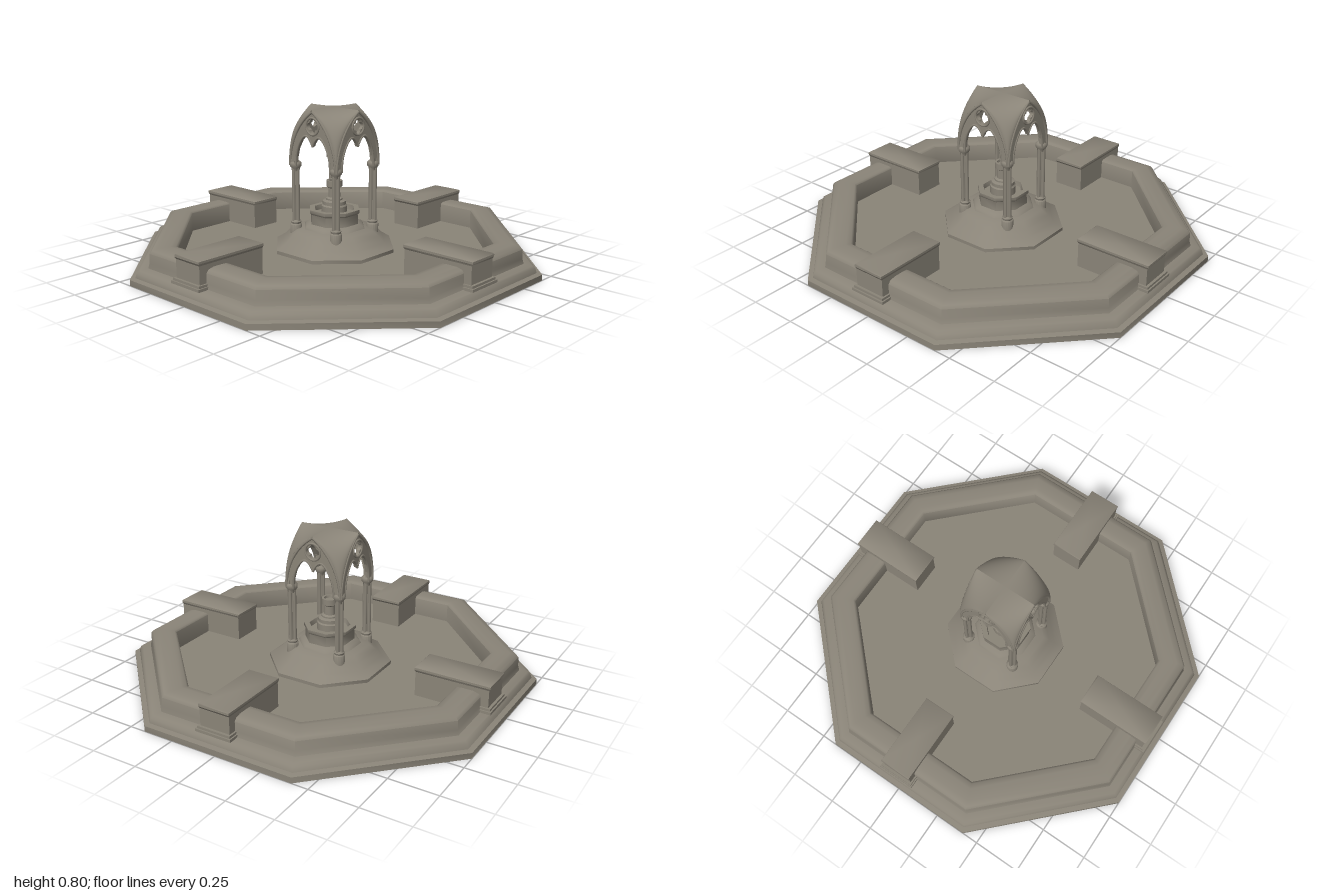
import * as THREE from 'three';
import { toCreasedNormals } from 'three/addons/utils/BufferGeometryUtils.js';

const stone = new THREE.MeshStandardMaterial({ color: 0x8a8478, side: THREE.DoubleSide });
stone.name = 'stone';

const V2 = (p) => new THREE.Vector2(p[0], p[1]);
const V3 = (p) => new THREE.Vector3(p[0], p[1], 0);

function add(parent, name, geometry, x = 0, y = 0, z = 0) {
  const mesh = new THREE.Mesh(geometry, stone);
  mesh.name = name;
  mesh.position.set(x, y, z);
  parent.add(mesh);
  return mesh;
}

// Solid with sides facing the axes and crisp mouldings; profile is [distance to side, height]
function prism(sides, profile) {
  const k = 1 / Math.cos(Math.PI / sides);
  const g = new THREE.LatheGeometry(profile.map(([r, y]) => V2([r * k, y])), sides, Math.PI / sides);
  return toCreasedNormals(g, 0.9);
}

// Pointed arch of the canopy: half width W, springing at SPRING, rise of RISE to the apex
const W = 0.165, R = 0.355, SPRING = 0.5, RISE = 0.3;
const APEX = Math.acos((R - W) / R);
const archPoint = (a, inset = 0) => [(R - inset) * Math.cos(a) - (R - W), SPRING + (R - inset) * Math.sin(a)];

// One quarter of the vault: level ridges, falling smoothly to a corner column
function vaultQuarter() {
  const g = new THREE.PlaneGeometry(1, 1, 14, 14);
  const p = g.attributes.position;
  const top = SPRING + RISE;
  for (let i = 0; i < p.count; i++) {
    const [x, y1] = archPoint((0.5 - p.getX(i)) * APEX);
    const [z, y2] = archPoint((0.5 + p.getY(i)) * APEX);
    p.setXYZ(i, x, top - ((top - y1) * (top - y2)) / RISE, z);
  }
  g.computeVertexNormals();
  return g;
}

// Right half of the cusped opening, from the springing to the hanging point
const OPENING = [[0.12, 0.5], [0.117, 0.55], [0.105, 0.595], [0.08, 0.64], [0.055, 0.664],
  [0.036, 0.664], [0.018, 0.648], [0.006, 0.63], [0, 0.615]];
const mirrored = (pts) => [...pts, ...pts.slice(0, -1).reverse().map(([x, y]) => [-x, y])];

function outerArch(inset = 0) {
  const pts = [];
  const top = Math.acos((R - W) / (R - inset));
  for (let i = 0; i <= 12; i++) pts.push(archPoint((i / 12) * top, inset));
  return mirrored(pts);
}

function gablePanel() {
  const shape = new THREE.Shape([...outerArch(), ...mirrored(OPENING).reverse()].map(V2));
  // four-lobed window
  const lobes = [];
  for (let i = 0; i < 48; i++) {
    const a = (i / 48) * Math.PI * 2;
    const r = 0.026 + 0.011 * Math.abs(Math.cos(2 * a));
    lobes.push(V2([r * Math.cos(a), 0.718 + r * Math.sin(a)]));
  }
  shape.holes.push(new THREE.Path(lobes));
  return new THREE.ExtrudeGeometry(shape, { depth: 0.02, bevelEnabled: false });
}

// Tubes meet in a point at the middle, so each half is its own curve
function halfRib(points, radius) {
  const curve = new THREE.CatmullRomCurve3(points.slice(0, (points.length + 1) / 2).map(V3));
  return new THREE.TubeGeometry(curve, 20, radius, 6);
}

function createColumn() {
  const column = new THREE.Group();
  column.name = 'column';
  const lathe = (pts) => toCreasedNormals(new THREE.LatheGeometry(pts.map(V2), 16), 0.9);
  add(column, 'columnBase', lathe([[0.031, 0.13], [0.031, 0.185], [0.025, 0.19], [0.028, 0.2], [0.02, 0.21]]));
  add(column, 'columnCore', new THREE.CylinderGeometry(0.016, 0.016, 0.29, 12), 0, 0.35, 0);
  for (let i = 0; i < 4; i++) {
    const a = (i * Math.PI) / 2;
    add(column, 'slimShaft', new THREE.CylinderGeometry(0.0095, 0.0095, 0.29, 8),
      0.015 * Math.cos(a), 0.35, 0.015 * Math.sin(a));
  }
  add(column, 'capital', lathe([[0.02, 0.47], [0.023, 0.485], [0.03, 0.495], [0.03, 0.513], [0.02, 0.522], [0, 0.522]]));
  return column;
}

function createPedestal() {
  const pedestal = new THREE.Group();
  pedestal.name = 'pedestal';
  const body = prism(4, [[0.97, 0.038], [0.97, 0.19], [1, 0.2], [1, 0.211], [0.97, 0.215], [0, 0.215]]);
  body.scale(0.086, 1, 0.199);
  add(pedestal, 'pedestalBlock', body, -0.033, 0, 0.754);
  add(pedestal, 'pedestalFoot', new THREE.BoxGeometry(0.2, 0.014, 0.06), -0.033, 0.081, 0.938);
  add(pedestal, 'pedestalFootStep', new THREE.BoxGeometry(0.185, 0.012, 0.055), -0.033, 0.094, 0.933);
  return pedestal;
}

export function createModel() {
  const model = new THREE.Group();
  model.name = 'fountain';

  // Pool
  const FLOOR = 0.06;
  add(model, 'poolWall', prism(8, [[1, 0], [1, 0.03], [0.975, 0.036], [0.968, 0.06], [0.955, 0.07],
    [0.915, 0.076], [0.908, 0.1], [0.906, 0.148], [0.895, 0.162], [0.865, 0.17], [0.81, 0.17],
    [0.785, 0.168], [0.775, 0.16], [0.775, FLOOR]]));
  add(model, 'poolFloor', prism(8, [[0.775, FLOOR], [0, FLOOR]]));

  // Central plinth, basin and spout
  add(model, 'plinth', prism(8, [[0.3, 0.04], [0.3, 0.078], [0.255, 0.108], [0.225, 0.14], [0.195, 0.165], [0.12, 0.178]]));
  add(model, 'basin', prism(8, [[0.155, 0.17], [0.145, 0.185], [0.121, 0.195], [0.119, 0.245], [0.127, 0.254],
    [0.127, 0.27], [0.1, 0.27], [0.095, 0.245], [0, 0.245]]));
  const spout = new THREE.LatheGeometry([[0.067, 0.245], [0.067, 0.285], [0.061, 0.292], [0.061, 0.31],
    [0.043, 0.316], [0.043, 0.324], [0.031, 0.33], [0.03, 0.378], [0.041, 0.386], [0.041, 0.418], [0.03, 0.418],
    [0.028, 0.405], [0, 0.405]].map(V2), 24);
  add(model, 'spout', toCreasedNormals(spout, 0.6));

  // Everything that repeats on the four sides
  const panel = gablePanel();
  const vault = vaultQuarter();
  const openingRib = halfRib(mirrored(OPENING), 0.006);
  const archRib = halfRib(outerArch(0.007), 0.007);
  for (let i = 0; i < 4; i++) {
    const side = new THREE.Group();
    side.name = 'side';
    side.rotation.y = (i * Math.PI) / 2;
    model.add(side);

    side.add(createPedestal());
    const column = createColumn();
    column.position.set(0.141, 0, 0.141);
    side.add(column);

    add(side, 'vaultQuarter', vault);
    add(side, 'gablePanel', panel, 0, 0, W - 0.023);
    add(side, 'windowRing', new THREE.TorusGeometry(0.043, 0.006, 6, 28), 0, 0.718, W - 0.003);
    for (const s of [1, -1]) {
      add(side, 'openingRib', openingRib, 0, 0, W - 0.004).scale.x = s;
      add(side, 'archRib', archRib, 0, 0, W - 0.002).scale.x = s;
    }
  }
  return model;
}
